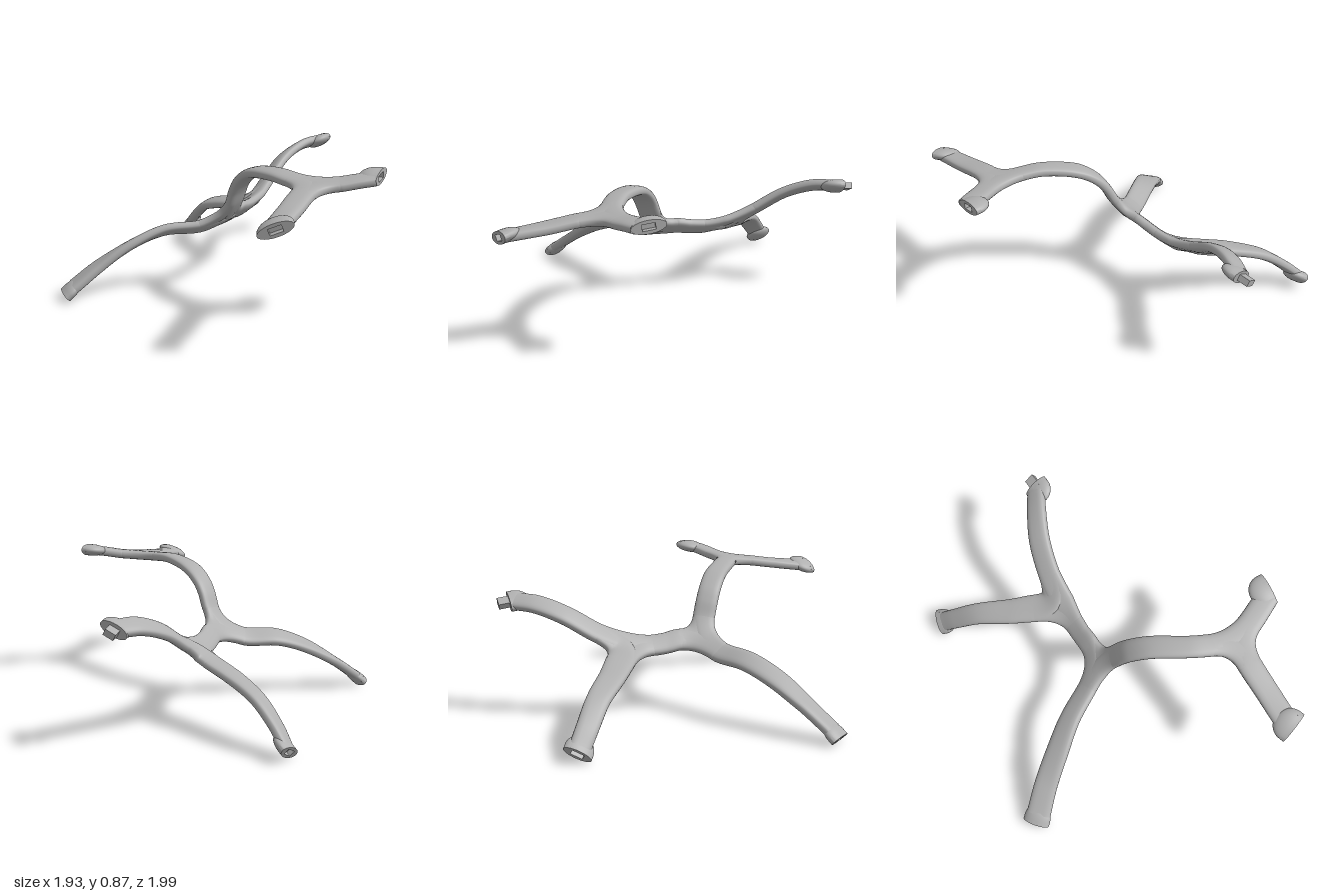
import * as THREE from 'three';
import { toCreasedNormals } from 'three/addons/utils/BufferGeometryUtils.js';

const grey = new THREE.MeshStandardMaterial({ color: 0xb0b0b0, side: THREE.DoubleSide });
grey.name = 'grey';

const SIDES = 24;
const THICK = 0.029;

// Flattened strip lofted along a curve; ups and widths are sampled with the same parameter
function loft(curve, ups, widths, steps) {
  const pos = [], index = [];
  const sample = (list, t, mix) => {
    const f = t * (list.length - 1), i = Math.min(Math.floor(f), list.length - 2);
    return mix(list[i], list[i + 1], f - i);
  };
  for (let i = 0; i <= steps; i++) {
    const t = i / steps;
    const p = curve.getPoint(t), tan = curve.getTangent(t);
    const up = sample(ups, t, (a, b, k) => a.clone().lerp(b, k));
    const w = sample(widths, t, (a, b, k) => a + (b - a) * k);
    const side = tan.clone().cross(up).normalize();
    up.copy(side).cross(tan).normalize();
    for (let j = 0; j < SIDES; j++) {
      const a = (j / SIDES) * Math.PI * 2, c = Math.cos(a), s = Math.sin(a);
      const q = p.clone()
        .addScaledVector(side, w * Math.sign(c) * Math.abs(c) ** 0.7)
        .addScaledVector(up, THICK * Math.sign(s) * Math.abs(s) ** 0.7);
      pos.push(q.x, q.y, q.z);
    }
  }
  for (let i = 0; i < steps; i++) {
    for (let j = 0; j < SIDES; j++) {
      const a = i * SIDES + j, b = i * SIDES + (j + 1) % SIDES;
      index.push(a, a + SIDES, b, b, a + SIDES, b + SIDES);
    }
  }
  const g = new THREE.BufferGeometry();
  g.setAttribute('position', new THREE.Float32BufferAttribute(pos, 3));
  g.setIndex(index);
  g.computeVertexNormals();
  return g;
}

const vec = (a, o = 0) => new THREE.Vector3(a[o], a[o + 1], a[o + 2]);

function mesh(name, geometry) {
  const m = new THREE.Mesh(geometry, grey);
  m.name = name;
  return m;
}

// Stations: x, y, z, surface-up direction, half width
function arm(name, st) {
  const curve = new THREE.CatmullRomCurve3(st.map((s) => vec(s)));
  return mesh(name, loft(curve, st.map((s) => vec(s, 3)), st.map((s) => s[6]), st.length * 8));
}

// Narrow copy of a junction node, so an arm's root stays hidden inside the junction
const root = (node) => [...node.slice(0, 6), 0.03];

// Three bent strips that round the inner corners where arms meet
function hub(name, node, ends) {
  const g = new THREE.Group();
  g.name = name;
  for (let i = 0; i < 3; i++) {
    const a = ends[i], b = ends[(i + 1) % 3];
    const curve = new THREE.QuadraticBezierCurve3(vec(a), vec(node), vec(b));
    g.add(mesh('fillet', loft(curve, [vec(a, 3), vec(node, 3), vec(b, 3)], [a[6], node[6], b[6]], 16)));
  }
  return g;
}

// Rounded end cap with a flat oval face, holding either a socket or a plug
function cap(name, at, dir, upHint, W, plug = false) {
  const g = new THREE.Group();
  g.name = name;
  const H = 0.037, D = 0.03;
  const oval = () => new THREE.Shape().absellipse(0, 0, W, H, 0, Math.PI * 2);

  const dome = new THREE.SphereGeometry(1, 28, 10, 0, Math.PI * 2, 0, Math.PI / 2);
  dome.rotateX(-Math.PI / 2);
  dome.scale(W, H, 0.09);
  dome.translate(0, 0, -D);
  g.add(mesh('capDome', dome));

  const shape = oval();
  if (!plug) {
    const hole = new THREE.Path();
    hole.moveTo(-0.035, -0.018).lineTo(-0.035, 0.018).lineTo(0.035, 0.018).lineTo(0.035, -0.018).closePath();
    shape.holes.push(hole);
  }
  const rim = new THREE.ExtrudeGeometry(shape, { depth: D, bevelEnabled: false, curveSegments: 28 });
  rim.translate(0, 0, -D);
  g.add(mesh('capRim', toCreasedNormals(rim, 0.7)));

  if (plug) {
    const peg = mesh('plug', new THREE.BoxGeometry(0.062, 0.036, 0.08));
    peg.position.z = 0.025;
    g.add(peg);
  } else {
    const floor = new THREE.ShapeGeometry(oval(), 28);
    floor.translate(0, 0, -D + 0.001);
    g.add(mesh('socketFloor', floor));
  }

  const z = vec(dir).normalize();
  const x = vec(upHint).cross(z).normalize();
  const y = z.clone().cross(x);
  g.quaternion.setFromRotationMatrix(new THREE.Matrix4().makeBasis(x, y, z));
  g.position.copy(vec(at));
  return g;
}

export function createModel() {
  const model = new THREE.Group();
  model.name = 'branchingFrame';

  // Junction nodes
  const front = [-0.07, 0.45, 0.19, -0.7, 0.7, 0, 0.068];
  const back = [-0.185, 0.43, -0.235, -0.5, 0.85, 0.1, 0.08];
  const fork = [0.67, 0.8, 0.393, 0, 1, 0.13, 0.07];

  const frontLeg = [
    root(front),
    [-0.18, 0.395, 0.3, -0.6, 0.75, -0.15, 0.068],
    [-0.33, 0.38, 0.45, -0.45, 0.87, -0.2, 0.068],
    [-0.45, 0.31, 0.6, -0.3, 0.95, -0.1, 0.07],
    [-0.57, 0.195, 0.755, -0.05, 1, 0, 0.07],
    [-0.655, 0.085, 0.885, 0, 1, 0, 0.073],
  ];
  const spine = [
    root(front),
    [-0.1, 0.452, 0.06, -0.75, 0.67, 0, 0.068],
    [-0.125, 0.437, -0.02, -0.75, 0.67, 0, 0.066],
    [-0.147, 0.43, -0.1, -0.7, 0.72, 0, 0.068],
    root(back),
  ];
  const sideLeg = [
    root(back),
    [-0.35, 0.385, -0.282, -0.35, 0.93, 0.1, 0.086],
    [-0.5, 0.345, -0.32, -0.3, 0.95, 0.1, 0.077],
    [-0.7, 0.275, -0.39, -0.35, 0.9, 0.2, 0.066],
    [-0.84, 0.17, -0.44, -0.5, 0.8, 0.3, 0.062],
    [-0.92, 0.09, -0.475, -0.55, 0.71, 0.36, 0.06],
  ];
  const rearArm = [
    root(back),
    [-0.215, 0.525, -0.42, -0.5, 0.8, 0.3, 0.07],
    [-0.22, 0.63, -0.6, -0.5, 0.8, 0.3, 0.067],
    [-0.19, 0.69, -0.77, -0.55, 0.83, 0.1, 0.063],
    [-0.16, 0.7, -0.89, -0.55, 0.83, 0, 0.058],
  ];
  const risingArm = [
    root(front),
    [0.005, 0.56, 0.21, -0.75, 0.6, 0, 0.066],
    [0.05, 0.65, 0.23, -0.7, 0.7, 0, 0.066],
    [0.1, 0.715, 0.25, -0.5, 0.85, 0, 0.066],
    [0.2, 0.78, 0.285, -0.2, 1, 0, 0.066],
    [0.4, 0.815, 0.353, 0, 1, 0.1, 0.063],
    [0.53, 0.81, 0.378, 0, 1, 0.13, 0.064],
    root(fork),
  ];
  const shortProng = [
    root(fork),
    [0.78, 0.812, 0.31, 0, 1, 0.13, 0.07],
    [0.86, 0.828, 0.245, 0, 1, 0.1, 0.068],
    [0.92, 0.838, 0.195, 0, 1, 0.1, 0.066],
  ];
  const longProng = [
    root(fork),
    [0.7, 0.785, 0.54, 0, 1, 0.13, 0.07],
    [0.745, 0.76, 0.7, 0, 1, 0.13, 0.067],
    [0.805, 0.732, 0.92, -0.15, 1, 0.13, 0.066],
  ];

  model.add(
    arm('frontLeg', frontLeg),
    arm('spine', spine),
    arm('sideLeg', sideLeg),
    arm('rearArm', rearArm),
    arm('risingArm', risingArm),
    arm('shortProng', shortProng),
    arm('longProng', longProng),
    hub('frontJunction', front, [frontLeg[1], spine[1], risingArm[1]]),
    hub('backJunction', back, [spine[3], sideLeg[1], rearArm[1]]),
    hub('forkJunction', fork, [risingArm[6], shortProng[1], longProng[1]]),
    cap('frontLegCap', [-0.685, 0.04, 0.925], [-0.4, -0.58, 0.55], [0, 1, 0], 0.081),
    cap('sideLegCap', [-0.95, 0.062, -0.488], [-0.8, -0.5, -0.25], [-0.55, 0.71, 0.36], 0.081),
    cap('rearArmCap', [-0.152, 0.697, -0.93], [-0.3, -0.12, -0.93], [-0.5, 0.85, 0], 0.08, true),
    cap('shortProngCap', [0.94, 0.845, 0.155], [0.98, 0, -0.2], [0, 1, 0.15], 0.093),
    cap('longProngCap', [0.826, 0.732, 0.94], [0.6, -0.15, 0.78], [-0.33, 1, 0.2], 0.095),
  );
  return model;
}
